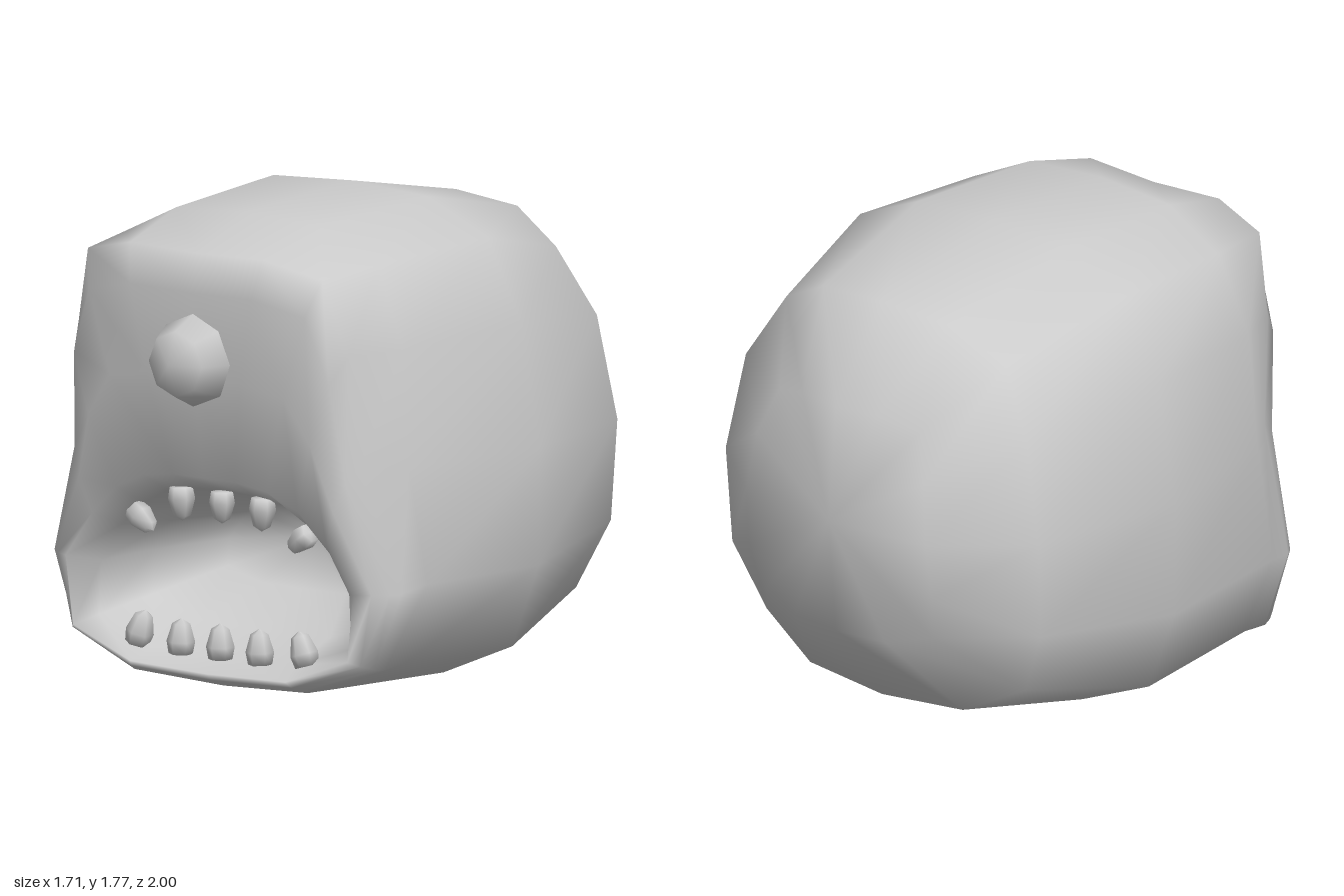
import * as THREE from 'three';

const grey = new THREE.MeshStandardMaterial({ color: 0xcccccc });

// Half outlines run from bottom centre round +x to top centre
const outline = [[0, 0], [.42, .02], [.73, .15], [.85, .46], [.855, .89], [.775, 1.33], [.62, 1.63], [.35, 1.75], [0, 1.77]];
const mouth = [[0, .14], [.32, .145], [.57, .23], [.56, .43], [.47, .57], [.37, .66], [.26, .72], [.13, .74], [0, .745]];
const faceEdge = [[0, .035, .67], [.38, .05, .67], [.69, .16, .62], [.78, .45, .64], [.63, .9, .69], [.61, 1.31, .73], [.53, 1.59, .78], [.3, 1.645, .83], [0, 1.635, .82]];
const lips = [[0, .09, .765], [.35, .1, .765], [.62, .2, .75], [.65, .45, .755], [.53, .62, .755], [.41, .73, .77], [.28, .79, .785], [.14, .81, .79], [0, .81, .79]];
const cheekBulge = [.02, .02, .02, .02, .05, .065, .05, .045, .04];
const cheekTaper = [1, 1, 1, 1, .9, .945, .97, .98, 1];

// 1 at the four rounded corners, 0 at the middle of each side
const corner = j => [0, .3, 1, .3][j % 4];

// Scaled copy of a half outline about height cy, bent in z and size at its corners
function scaled(half, cy, sx, sy, z, bendZ = 0, bendS = 0) {
  return half.map(([x, y], j) => {
    const b = 1 + bendS * corner(j);
    return [x * sx * b, cy + (y - cy) * sy * b, z + bendZ * corner(j)];
  });
}

// Ring of the face between its edge (t = 0) and the lips (t = 1), bulging forward
function faceRing(t, bulge) {
  return faceEdge.map((p, j) => {
    const [x, y, z] = p.map((v, k) => THREE.MathUtils.lerp(v, lips[j][k], t));
    return [x, y, z + bulge * cheekBulge[j]];
  });
}

// Mirrored rings joined into one smooth skin, closed by a pole at either end
function loft(rings, startPole, endPole) {
  const pos = [...startPole], index = [], n = 16;
  for (const half of rings) {
    const mirrored = half.slice(1, 8).reverse().map(([x, y, z]) => [-x, y, z]);
    for (const p of [...half, ...mirrored]) pos.push(...p);
  }
  pos.push(...endPole);
  const last = rings.length - 1, end = 1 + rings.length * n;
  const id = (i, j) => 1 + i * n + (j % n);
  for (let j = 0; j < n; j++) {
    index.push(0, id(0, j + 1), id(0, j));
    for (let i = 0; i < last; i++) {
      const a = id(i, j), b = id(i, j + 1), c = id(i + 1, j + 1), d = id(i + 1, j);
      index.push(a, b, d, b, c, d);
    }
    index.push(id(last, j), id(last, j + 1), end);
  }
  const g = new THREE.BufferGeometry();
  g.setAttribute('position', new THREE.Float32BufferAttribute(pos, 3));
  g.setIndex(index);
  g.computeVertexNormals();
  return g;
}

function makeBody() {
  // Rounded back and flanks, drawn in beside the eye
  const shell = [
    scaled(outline, .89, .49, .49, -.96, .08, .08),
    scaled(outline, .89, .855, .86, -.7, .08, -.03),
    scaled(outline, .89, 1, 1, -.08),
    scaled(outline, .89, .95, .97, .53, -.03).map(([x, y, z], j) => [x * cheekTaper[j], y, z]),
  ];
  // Face with a brow, narrowing to the lips
  const face = [faceRing(0, 0), faceRing(.17, 1), faceRing(.55, 1), lips];
  // Hollow of the mouth
  const hollow = [
    scaled(mouth, .47, 1, 1, .66),
    scaled(mouth, .48, .9, .82, .42),
    scaled(mouth, .5, .6, .5, .2),
  ];
  const body = new THREE.Mesh(loft([...shell, ...face, ...hollow], [0, .89, -1], [0, .5, .12]), grey);
  body.name = 'body';
  return body;
}

function makeEye() {
  const g = new THREE.SphereGeometry(.17, 8, 4).rotateX(Math.PI / 2);
  const eye = new THREE.Mesh(g, grey);
  eye.name = 'eye';
  eye.position.set(0, 1.25, .85);
  eye.scale.z = .88;
  return eye;
}

// Blunt six-sided peg
const toothProfile = [[0, 0], [.044, 0], [.052, .045], [.033, .11], [0, .13]].map(p => new THREE.Vector2(...p));
const toothGeometry = new THREE.LatheGeometry(toothProfile, 6);

// Each row gives x, y, z of the root, tilt and size; side teeth are mirrored
function makeTeeth(name, rows) {
  const group = new THREE.Group();
  group.name = name;
  for (const [x, y, z, tilt, size] of rows) {
    for (const side of x ? [1, -1] : [1]) {
      const tooth = new THREE.Mesh(toothGeometry, grey);
      tooth.name = 'tooth';
      tooth.position.set(x * side, y, z);
      tooth.rotation.z = tilt * side;
      tooth.scale.setScalar(size);
      group.add(tooth);
    }
  }
  return group;
}

export function createModel() {
  const model = new THREE.Group();
  model.name = 'oneEyedMonster';
  model.add(
    makeBody(),
    makeEye(),
    makeTeeth('lowerTeeth', [[0, .135, .69, 0, 1], [.18, .135, .69, .03, 1], [.385, .15, .68, .3, 1]]),
    makeTeeth('upperTeeth', [[0, .745, .68, Math.PI, .9], [.185, .742, .68, Math.PI - .05, .95], [.4, .64, .68, 2.24, .9]]),
  );
  return model;
}
